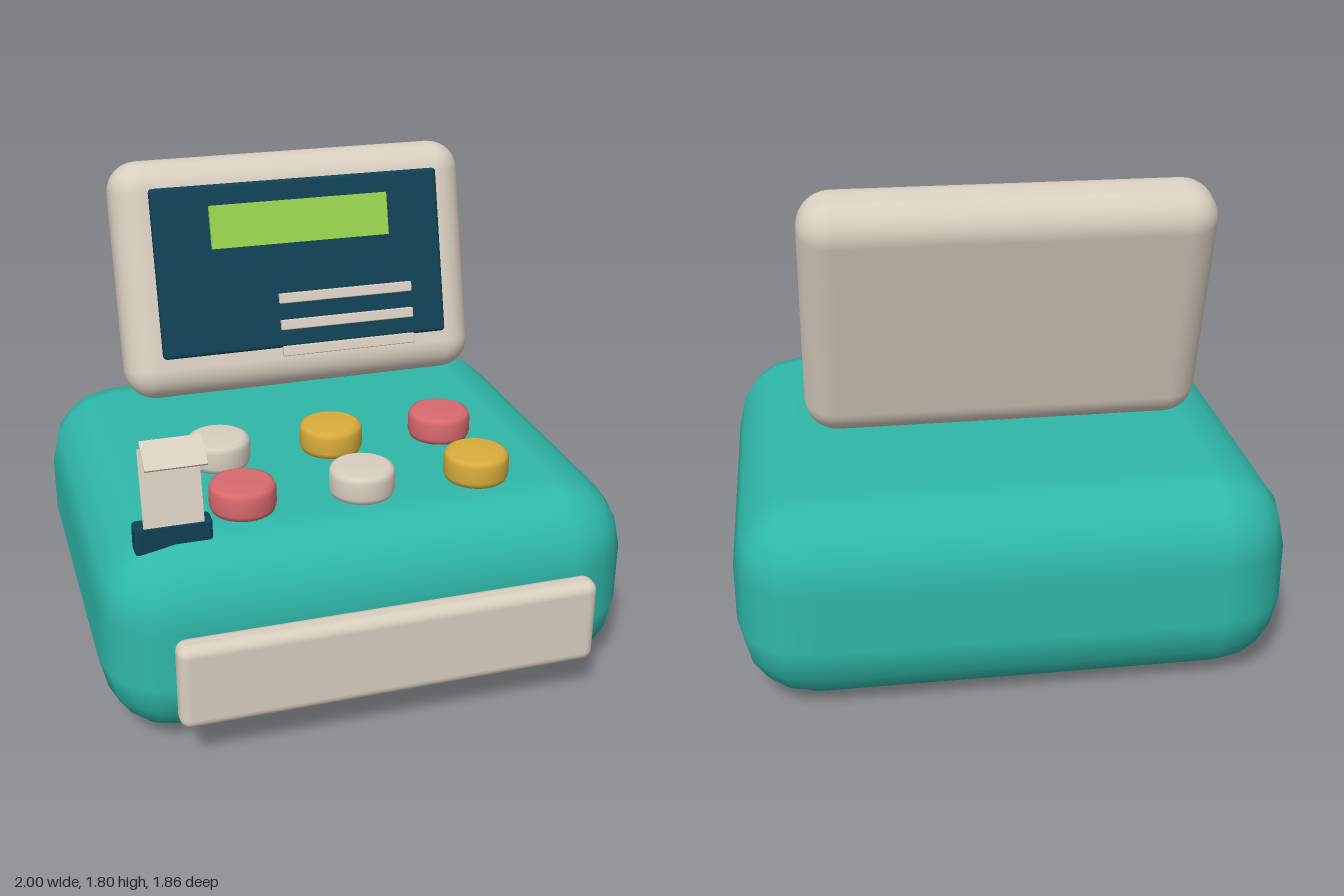
import * as THREE from 'three';
import { RoundedBoxGeometry } from 'three/addons/geometries/RoundedBoxGeometry.js';

const material = (name, color) => {
  const m = new THREE.MeshStandardMaterial({ color });
  m.name = name;
  return m;
};

export function createModel() {
  const teal = material('teal', 0x2fb8a9);
  const cream = material('cream', 0xd9cfc0);
  const navy = material('navy', 0x104154);
  const green = material('green', 0x96d24e);
  const red = material('red', 0xd96a6f);
  const yellow = material('yellow', 0xd9ac3c);

  const model = new THREE.Group();
  model.name = 'cashRegister';

  const add = (parent, name, geometry, mat, x, y, z, tilt = 0) => {
    const mesh = new THREE.Mesh(geometry, mat);
    mesh.name = name;
    mesh.position.set(x, y, z);
    mesh.rotation.x = tilt;
    parent.add(mesh);
    return mesh;
  };
  const rounded = (w, h, d, r, segments = 3) => new RoundedBoxGeometry(w, h, d, segments, r);

  // Body and cash drawer
  add(model, 'body', rounded(2, 0.78, 1.77, 0.28, 2), teal, 0, 0.39, -0.045);
  add(model, 'drawer', rounded(1.55, 0.33, 0.1, 0.04), cream, 0, 0.335, 0.88);

  // Display, leaning back
  const display = new THREE.Group();
  display.name = 'display';
  display.position.set(0, 1.34, -0.4265);
  display.rotation.x = -Math.PI / 12;
  model.add(display);
  add(display, 'displayCase', rounded(1.44, 0.935, 0.275, 0.12, 4), cream, 0, 0, 0);
  add(display, 'screenPanel', rounded(1.165, 0.66, 0.06, 0.015, 2), navy, 0, 0.027, 0.14);
  add(display, 'readout', new THREE.BoxGeometry(0.72, 0.167, 0.03), green, 0, 0.193, 0.172);
  for (const y of [-0.106, -0.211, -0.315]) {
    add(display, 'textLine', rounded(0.55, 0.04, 0.02, 0.004, 1), cream, 0.165, y, 0.184);
  }

  // Round keys
  const profile = [[0, 0], [0.1, 0], [0.114, 0.006], [0.121, 0.025], [0.121, 0.085],
    [0.114, 0.104], [0.096, 0.112], [0, 0.112]].map(([x, y]) => new THREE.Vector2(x, y));
  const keyGeometry = new THREE.LatheGeometry(profile, 32);
  const rows = [[0.12, [cream, yellow, red]], [0.51, [red, cream, yellow]]];
  for (const [z, colours] of rows) {
    colours.forEach((mat, i) => add(model, 'key', keyGeometry, mat, (i - 1) * 0.445, 0.778, z));
  }

  // Receipt printer with a folded strip of paper
  add(model, 'printerSlot', rounded(0.275, 0.11, 0.07, 0.015, 2), navy, -0.7225, 0.78, 0.625);
  add(model, 'receipt', new THREE.BoxGeometry(0.21, 0.277, 0.008), cream, -0.725, 0.978, 0.65, -0.22);
  add(model, 'receiptTip', new THREE.BoxGeometry(0.21, 0.116, 0.008), cream, -0.725, 1.136, 0.727, -0.97);

  return model;
}
